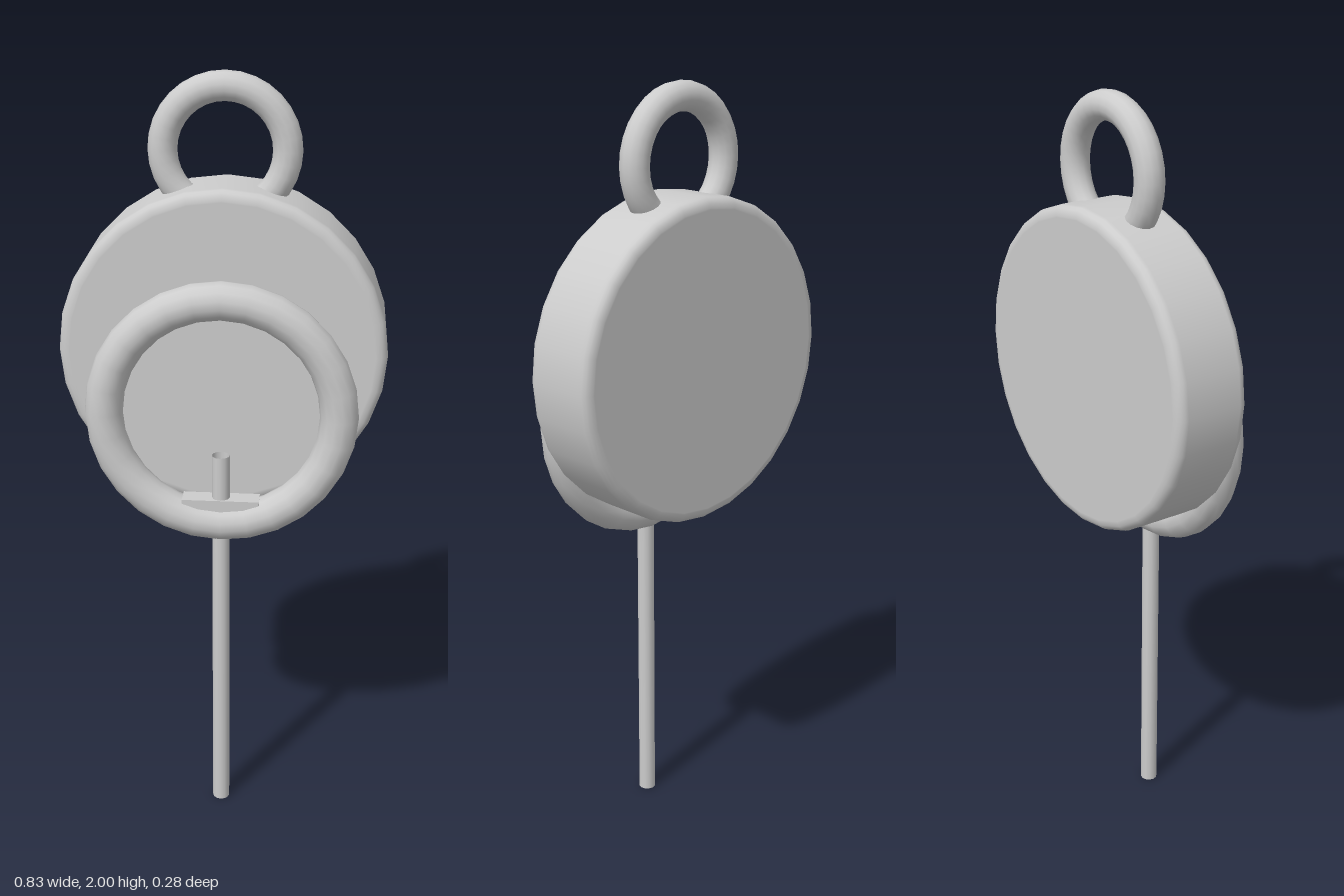
import * as THREE from 'three';

export function createModel() {
  const group = new THREE.Group();
  const grey = new THREE.MeshStandardMaterial({ color: 0xcccccc, side: THREE.DoubleSide });
  grey.name = 'light grey metal';

  const add = (name, geometry, x, y, z) => {
    const mesh = new THREE.Mesh(geometry, grey);
    mesh.name = name;
    mesh.position.set(x, y, z);
    group.add(mesh);
  };

  // Round case: a disc profile with rounded rims, turned to face +z
  const radius = 0.416, half = 0.1025, bevel = 0.026;
  const profile = [new THREE.Vector2(0, -half), new THREE.Vector2(radius - bevel - 0.004, -half)];
  for (const side of [-1, 1]) {
    for (let i = 0; i <= 4; i++) {
      const a = side * (Math.PI / 2) * (side < 0 ? 1 - i / 4 : i / 4);
      profile.push(new THREE.Vector2(
        radius - bevel + bevel * Math.cos(a),
        side * (half - bevel) + bevel * Math.sin(a)));
    }
  }
  profile.push(new THREE.Vector2(radius - bevel - 0.004, half), new THREE.Vector2(0, half));
  const discGeometry = new THREE.LatheGeometry(profile, 28);
  discGeometry.rotateX(Math.PI / 2);
  add('disc', discGeometry, 0, 1.316, -0.0375);

  // Ring set into the lower part of the front face
  add('frontRing', new THREE.TorusGeometry(0.3, 0.049, 14, 28), 0, 1.165, 0.089);

  // Flat seat at the bottom of the ring, where the rod passes through
  add('rodSeat', new THREE.BoxGeometry(0.2, 0.035, 0.073), 0, 0.9175, 0.0815);

  // Hanging loop, sunk into the top of the disc
  add('hangingLoop', new THREE.TorusGeometry(0.154, 0.037, 14, 32), 0, 1.809, -0.037);

  // Thin hollow rod running down through the front ring
  add('rod', new THREE.CylinderGeometry(0.023, 0.023, 1.053, 12, 1, true), 0, 0.5265, 0.092);

  return group;
}
